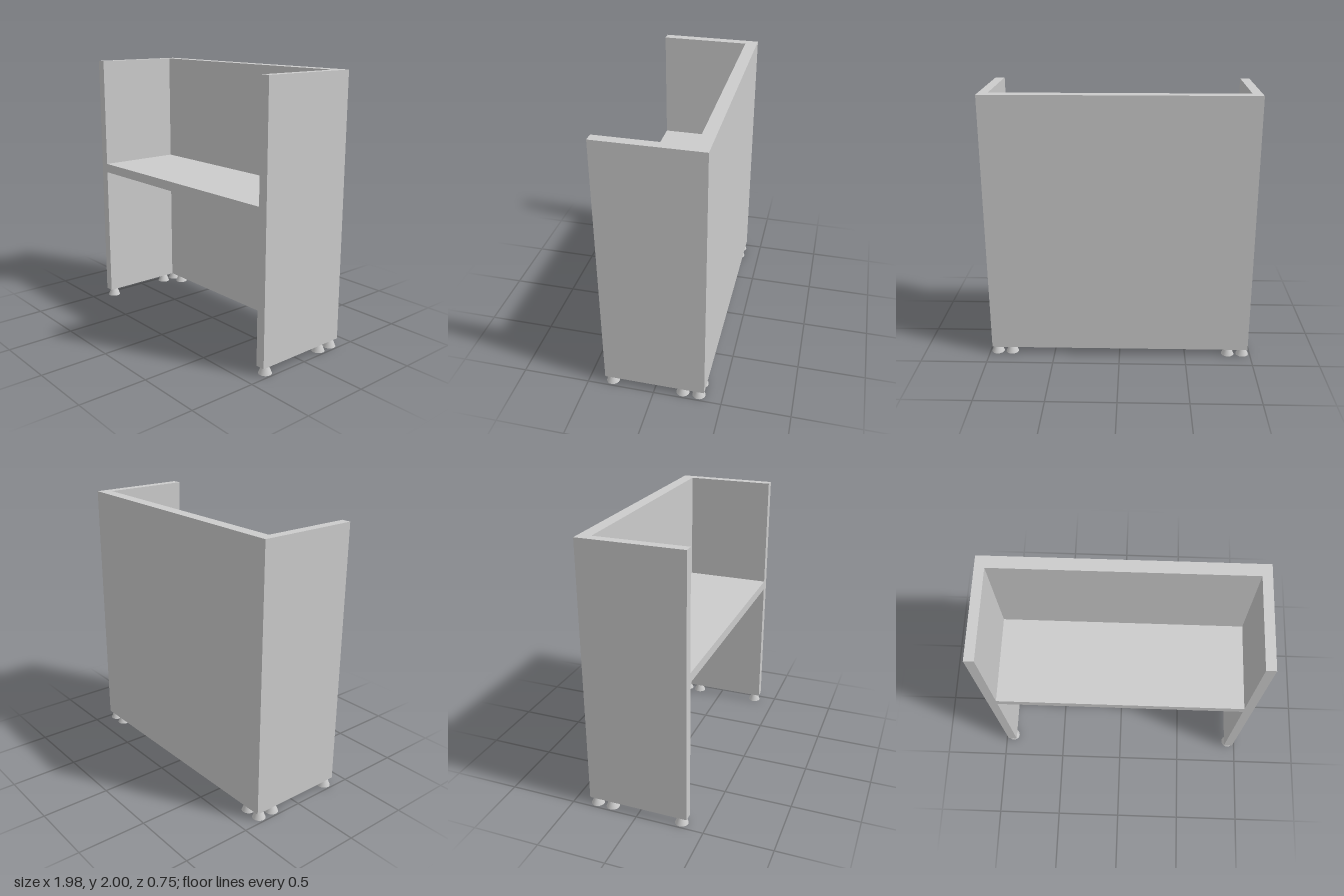
import * as THREE from 'three';

export function createModel() {
  const group = new THREE.Group();
  const material = new THREE.MeshStandardMaterial({ color: 0xcccccc });
  const add = (geometry, name, x, y, z) => {
    const mesh = new THREE.Mesh(geometry, material);
    mesh.name = name;
    mesh.position.set(x, y, z);
    group.add(mesh);
  };

  const W = 0.977, inner = 0.908;          // half widths outside and inside
  const back = -0.372, front = 0.372, innerBack = -0.282;
  const bottom = 0.057, top = 2;

  // U-shaped enclosure: back panel and two sides, extruded upwards
  const plan = new THREE.Shape([
    [-W, -front], [-inner, -front], [-inner, -innerBack], [inner, -innerBack],
    [inner, -front], [W, -front], [W, -back], [-W, -back],
  ].map(([x, y]) => new THREE.Vector2(x, y)));
  const walls = new THREE.ExtrudeGeometry(plan, { depth: top - bottom, bevelEnabled: false });
  walls.rotateX(-Math.PI / 2);
  add(walls, 'wallPanels', 0, bottom, 0);

  // Desk top between the sides, flush with their front edges
  add(new THREE.BoxGeometry(inner * 2, 0.07, front - innerBack), 'deskTop',
    0, 1.13, (front + innerBack) / 2);

  // Tapered feet: four on each side, clustered at the back corners
  const foot = new THREE.CylinderGeometry(0.025, 0.048, bottom, 24);
  for (const [side, s] of [['left', 1], ['right', -1]]) {
    [[0.941, 0.323], [0.941, -0.208], [0.941, -0.327], [0.83, -0.327]].forEach(([x, z], i) =>
      add(foot, `${side}Foot${i + 1}`, s * x, bottom / 2, z));
  }
  return group;
}
